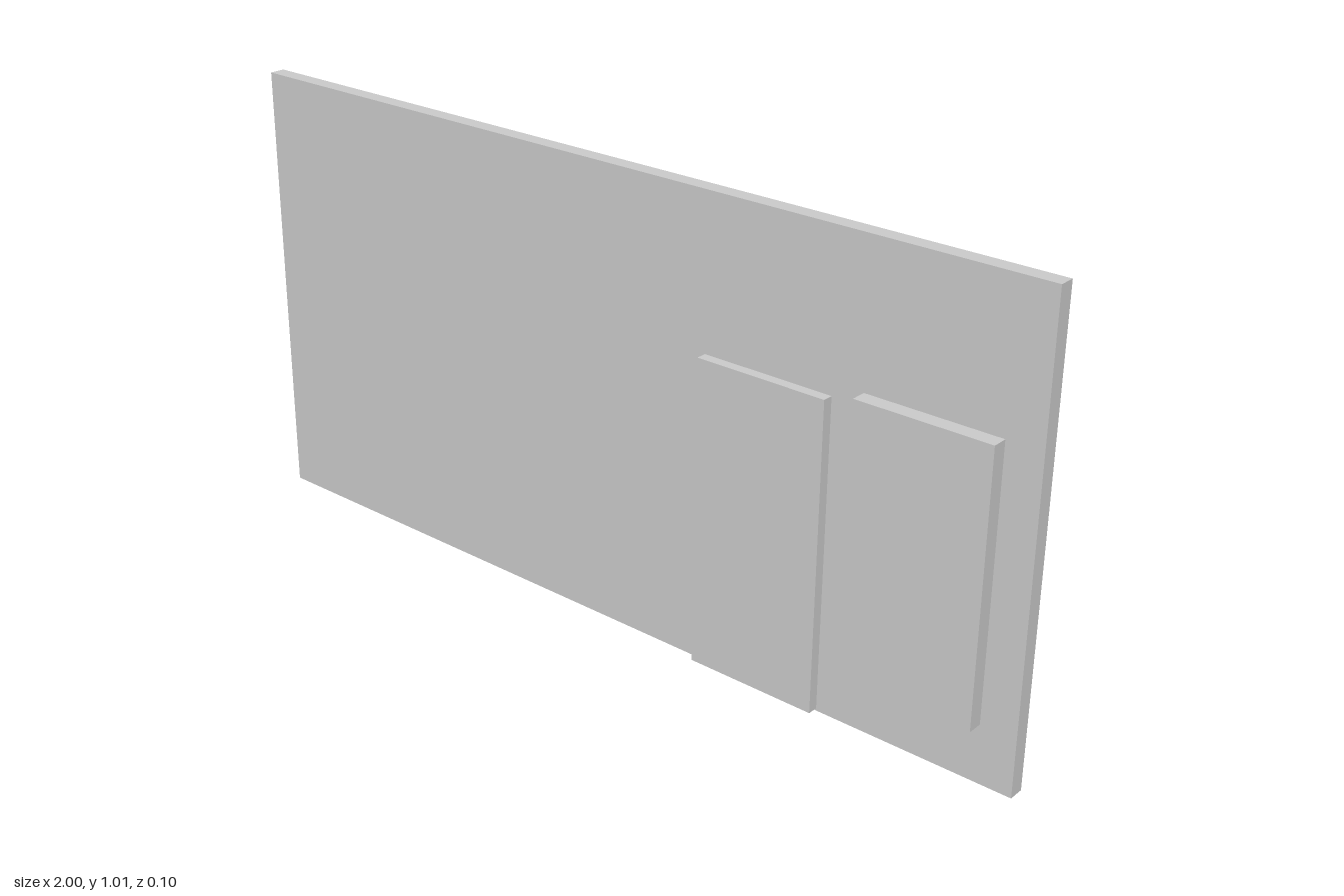
import * as THREE from 'three';

const material = new THREE.MeshStandardMaterial({ color: 0xcccccc, flatShading: true });

// Box given by its lower and upper limits on each axis
function slab(name, [x0, x1], [y0, y1], [z0, z1]) {
  const mesh = new THREE.Mesh(new THREE.BoxGeometry(x1 - x0, y1 - y0, z1 - z0), material);
  mesh.name = name;
  mesh.position.set((x0 + x1) / 2, (y0 + y1) / 2, (z0 + z1) / 2);
  return mesh;
}

export function createModel() {
  const group = new THREE.Group();
  group.name = 'wallWithDoorAndWindow';
  group.add(
    // Thin wall panel
    slab('wall', [-1, 1], [0, 1.013], [-0.018, 0.017]),
    // Door and window pass through the wall and stand proud on both sides
    slab('door', [0.258, 0.557], [0.005, 0.681], [-0.049, 0.04]),
    slab('window', [0.627, 0.922], [0.127, 0.708], [-0.038, 0.051]),
  );
  return group;
}
